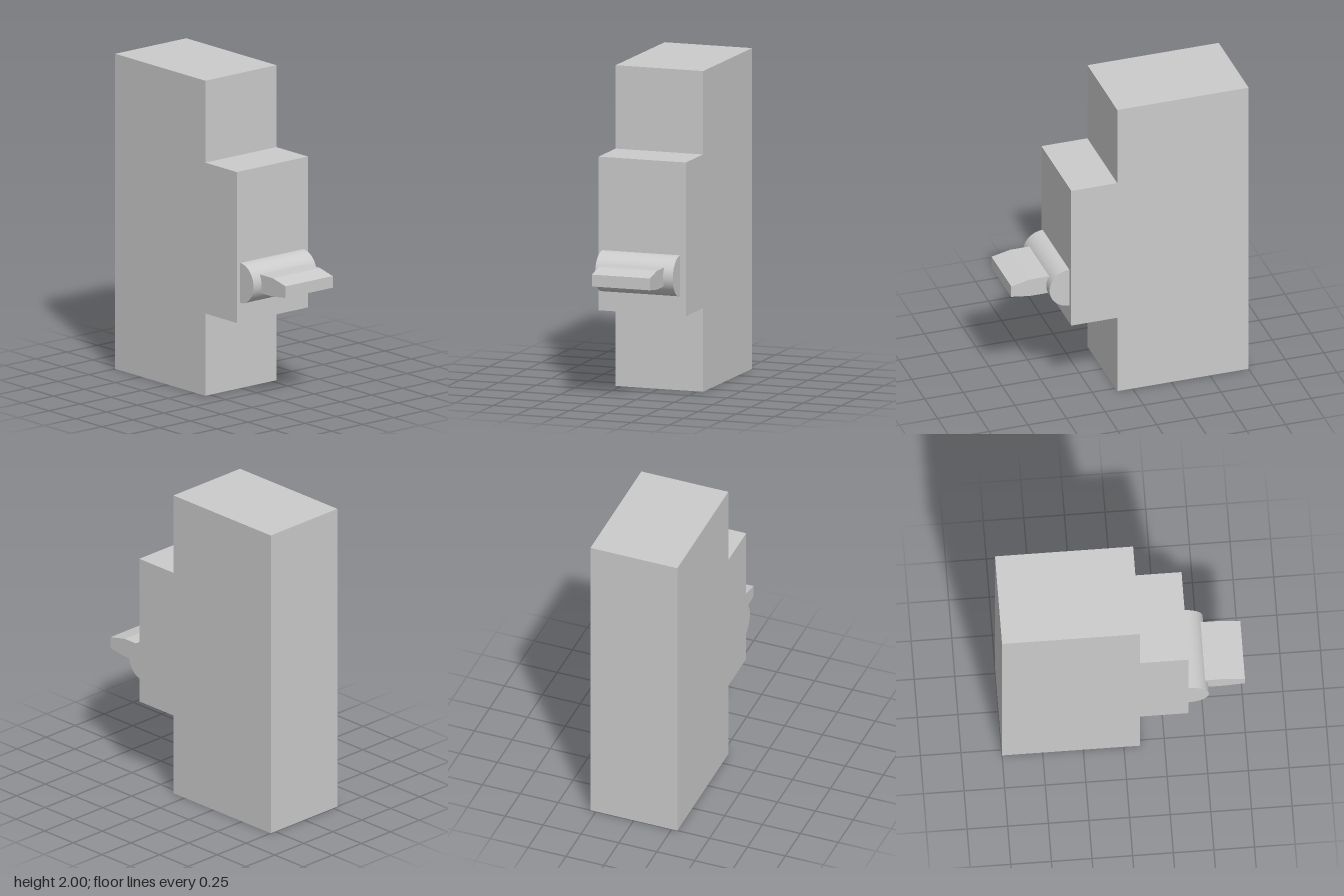
import * as THREE from 'three';

const material = new THREE.MeshStandardMaterial({ color: 0xcccccc });

// Side profile given as [z, y] points, extruded across x from x0 to x1
function sideExtrusion(name, points, x0, x1) {
  const shape = new THREE.Shape(points.map(([z, y]) => new THREE.Vector2(z, y)));
  const geometry = new THREE.ExtrudeGeometry(shape, { depth: x1 - x0, bevelEnabled: false });
  geometry.rotateY(-Math.PI / 2).translate(x1, 0, 0);
  const mesh = new THREE.Mesh(geometry, material);
  mesh.name = name;
  return mesh;
}

export function createModel() {
  const model = new THREE.Group();
  model.name = 'circuitBreaker';

  // Housing with the raised middle section at the front
  model.add(sideExtrusion('housing', [
    [-0.75, 0], [0.1, 0], [0.1, 0.522], [0.398, 0.522],
    [0.398, 1.48], [0.1, 1.48], [0.1, 2], [-0.75, 2],
  ], -0.287, 0.287));

  // Half-round pivot the switch turns on
  const drum = new THREE.CylinderGeometry(0.127, 0.127, 0.51, 32, 1, false, -Math.PI / 2, Math.PI);
  drum.rotateZ(Math.PI / 2);
  const pivot = new THREE.Mesh(drum, material);
  pivot.name = 'switchPivot';
  pivot.position.set(-0.006, 0.772, 0.398);
  model.add(pivot);

  // Switch lever, tapering towards its tip
  model.add(sideExtrusion('switchLever', [
    [0.45, 0.72], [0.63, 0.72], [0.752, 0.736],
    [0.752, 0.81], [0.63, 0.837], [0.45, 0.837],
  ], -0.196, 0.185));

  return model;
}
